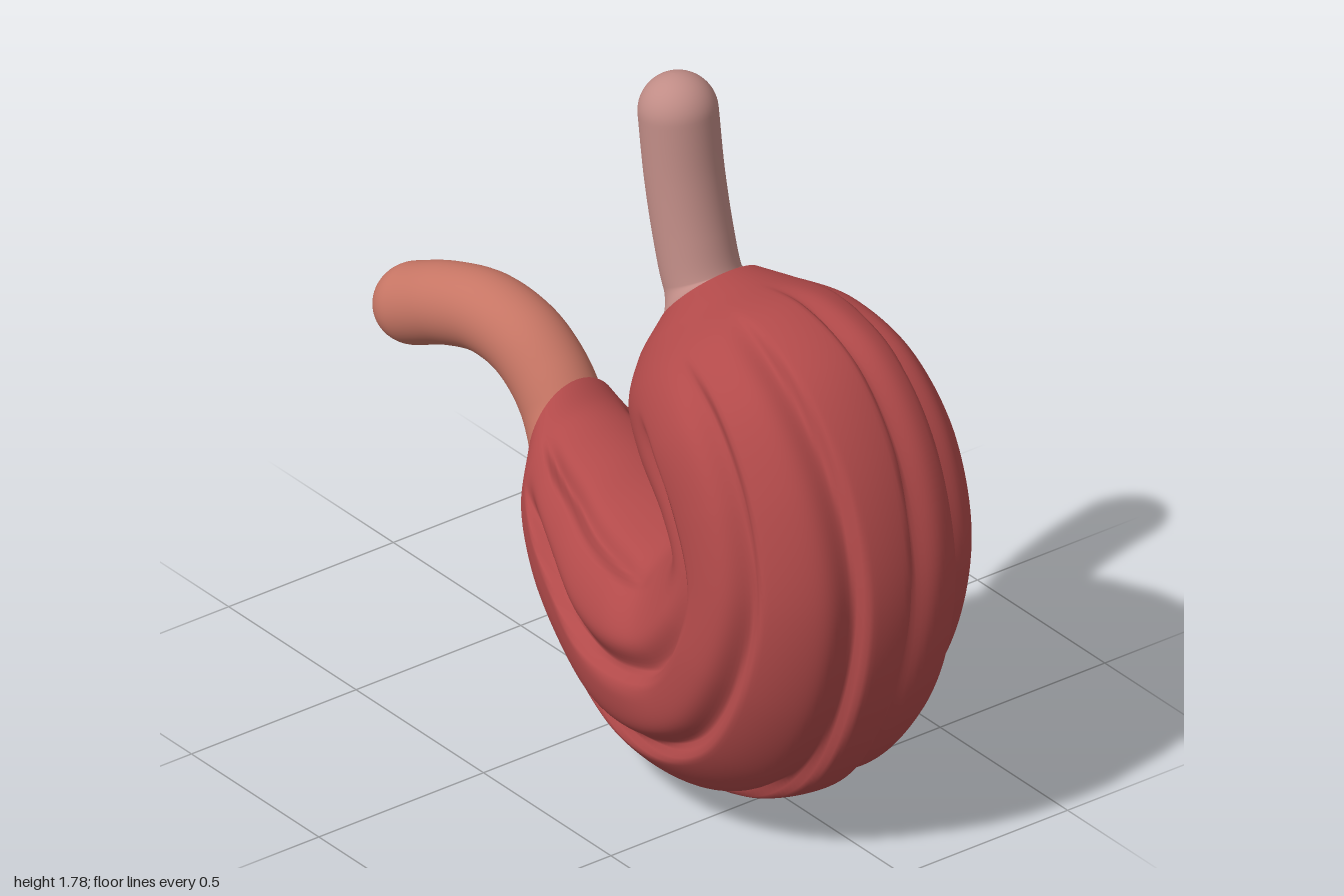
import * as THREE from 'three';

const V = (x, y, z = 0) => new THREE.Vector3(x, y, z);
const smooth = THREE.MathUtils.smoothstep;

// closed-ring surface: at(u, t) gives a point, u along the organ, t around it
function loft(at, nu, nv) {
  const pos = [], idx = [];
  for (let i = 0; i <= nu; i++)
    for (let j = 0; j < nv; j++) pos.push(...at(i / nu, (j / nv) * Math.PI * 2).toArray());
  for (let i = 0; i < nu; i++)
    for (let j = 0; j < nv; j++) {
      const k = (j + 1) % nv;
      const a = i * nv + j, b = i * nv + k, c = a + nv, d = b + nv;
      idx.push(a, b, c, b, d, c);
    }
  const g = new THREE.BufferGeometry();
  g.setAttribute('position', new THREE.Float32BufferAttribute(pos, 3));
  g.setIndex(idx);
  g.computeVertexNormals();
  return g;
}

// stations: inner x, inner y, outer x, outer y, half depth, z centre
const stations = [
  [0.115, 1.12, 0.265, 1.325, 0.14, -0.04],
  [0.10, 1.03, 0.36, 1.335, 0.21, -0.03],
  [0.12, 0.93, 0.55, 1.355, 0.295, -0.02],
  [0.20, 0.86, 0.75, 1.28, 0.35, -0.015],
  [0.30, 0.79, 0.91, 1.08, 0.375, -0.015],
  [0.355, 0.74, 0.998, 0.77, 0.38, -0.005],
  [0.33, 0.70, 0.955, 0.45, 0.38, 0.01],
  [0.26, 0.645, 0.81, 0.195, 0.375, 0.015],
  [0.15, 0.635, 0.60, 0.055, 0.36, 0.02],
  [0.03, 0.64, 0.30, 0, 0.315, 0.02],
  [-0.08, 0.665, 0.03, 0.06, 0.265, 0.01],
  [-0.19, 0.68, -0.19, 0.19, 0.225, -0.01],
  [-0.27, 0.70, -0.335, 0.33, 0.18, -0.03],
  [-0.335, 0.745, -0.352, 0.40, 0.14, -0.04],
];
const innerEdge = new THREE.CatmullRomCurve3(stations.map(s => V(s[0], s[1], s[4])));
const outerEdge = new THREE.CatmullRomCurve3(stations.map(s => V(s[2], s[3], s[5])));

// long folds: angle in degrees, depth, start and end along the body
const grooves = [
  [22, 0.035, 0.1, 0.97], [62, 0.035, 0.13, 0.95], [100, 0.045, 0.17, 0.92],
  [138, 0.03, 0.5, 0.95], [-8, 0.035, 0.08, 0.97], [-38, 0.04, 0.1, 0.95],
  [-66, 0.035, 0.14, 0.95], [-102, 0.04, 0.18, 0.9], [-138, 0.03, 0.3, 0.95],
];
function foldDepth(u, t) {
  let sum = 0;
  grooves.forEach(([deg, depth, start, end], k) => {
    const c = deg * Math.PI / 180 + 0.06 * Math.sin(u * 11 + k * 2.1);
    let d = t - c;
    d = Math.atan2(Math.sin(d), Math.cos(d));
    // one side steep, the other rolling, like an overlapping fold
    const w = d * Math.sign(deg) > 0 ? 0.14 : 0.045;
    const fade = smooth(u, start, start + 0.12) * (1 - smooth(u, end - 0.12, end));
    sum += depth * fade * Math.exp(-((d / w) ** 2));
  });
  return sum;
}

function bodyPoint(u, t) {
  const a = innerEdge.getPoint(u), b = outerEdge.getPoint(u);
  const hz = a.z, cz = b.z;
  a.z = b.z = 0;
  const mid = a.clone().add(b).multiplyScalar(0.5);
  const dir = b.sub(a), half = dir.length() / 2;
  dir.normalize();
  const c = Math.cos(t), s = Math.sin(t), f = foldDepth(u, t);
  // oval section, flatter on the inner side of the lower half
  const flat = 1 - 0.2 * smooth(u, 0.4, 0.6) * (1 - smooth(u, 0.85, 1));
  const p = c < 0 ? -((-c) ** flat) : c;
  return mid.addScaledVector(dir, half * p - f * c).add(V(0, 0, cz + (hz - f) * s));
}

// tube with a domed end, its root widening to meet the body's end ring
function tube(points, radius, root) {
  const curve = new THREE.CatmullRomCurve3(points);
  return loft((u, t) => {
    const s = Math.min(u / 0.8, 1);
    const a = Math.max(0, (u - 0.8) / 0.2) * Math.PI / 2;
    const T = curve.getTangent(s);
    const n = V(-T.y, T.x).normalize();
    const r = radius * Math.max(Math.cos(a), 0.001);
    return curve.getPoint(s)
      .addScaledVector(T, radius * Math.sin(a))
      .addScaledVector(n, r * Math.cos(t))
      .add(V(0, 0, r * Math.sin(t)))
      .lerp(root(t), 1 - smooth(s, 0, 0.24));
  }, 80, 48);
}

export function createModel() {
  const group = new THREE.Group();
  const add = (name, geometry, colour, hex) => {
    const material = new THREE.MeshStandardMaterial({ color: hex });
    material.name = colour;
    const mesh = new THREE.Mesh(geometry, material);
    mesh.name = name;
    group.add(mesh);
  };

  add('stomachBody', loft(bodyPoint, 170, 200), 'muscle red', 0xb24a4a);

  // upper inlet tube, running against the body's direction
  add('esophagus', tube([
    V(0.19, 1.222, -0.04), V(0.16, 1.265, -0.04), V(0.125, 1.37, -0.04),
    V(0.09, 1.52, -0.04), V(0.066, 1.68, -0.04),
  ], 0.098, t => bodyPoint(0, Math.PI - t)), 'pale pink', 0xc08c86);

  // lower outlet tube
  add('duodenum', tube([
    V(-0.343, 0.578, -0.04), V(-0.38, 0.625, -0.045), V(-0.45, 0.70, -0.05),
    V(-0.54, 0.76, -0.045), V(-0.66, 0.785, -0.03), V(-0.79, 0.76, -0.01),
    V(-0.9, 0.715, 0.005),
  ], 0.102, t => bodyPoint(1, t)), 'salmon', 0xc67564);

  return group;
}
